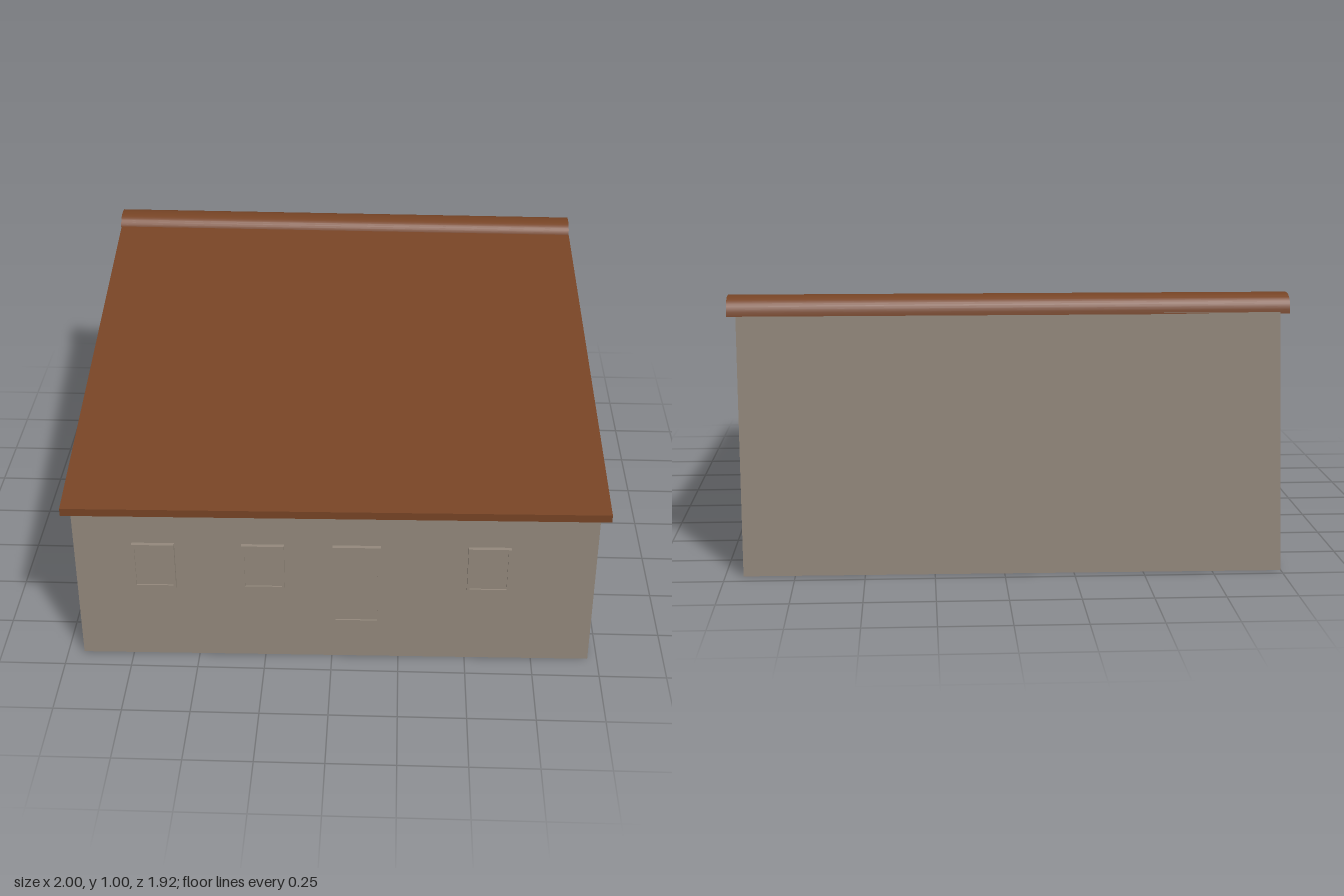
import * as THREE from 'three';
import { toCreasedNormals } from 'three/addons/utils/BufferGeometryUtils.js';

const wallMat = new THREE.MeshStandardMaterial({ name: 'plaster', color: 0x94897d, side: THREE.DoubleSide });
const roofMat = new THREE.MeshStandardMaterial({ name: 'brown roof', color: 0x774425 });

function fromTriangles(points) {
  const g = new THREE.BufferGeometry().setFromPoints(points);
  g.computeVertexNormals();
  return g;
}

function named(name, geometry, material) {
  const mesh = new THREE.Mesh(geometry, material);
  mesh.name = name;
  return mesh;
}

const v = (x, y, z) => new THREE.Vector3(x, y, z);

// Flat polygons, each a fan of corners
function sheet(...polygons) {
  const tris = [];
  for (const p of polygons)
    for (let i = 1; i < p.length - 1; i++) tris.push(p[0], p[i], p[i + 1]);
  return fromTriangles(tris);
}

// Closed solid between matching left and right end profiles
function prism(left, right) {
  const sides = left.map((p, i) => {
    const j = (i + 1) % left.length;
    return [p, right[i], right[j], left[j]];
  });
  return sheet(left, [...right].reverse(), ...sides);
}

// Raised frame with a slightly recessed panel, facing +z before turning
function opening(name, width, y0, y1, x, z, turn, depth = 0.03) {
  const group = new THREE.Group();
  group.name = name;
  const w = width / 2, h = (y1 - y0) / 2, rim = 0.01;
  const rect = (C, a, b) => new C([
    new THREE.Vector2(-a, -b), new THREE.Vector2(a, -b),
    new THREE.Vector2(a, b), new THREE.Vector2(-a, b)]);
  const shape = rect(THREE.Shape, w, h);
  shape.holes.push(rect(THREE.Path, w - rim, h - rim));
  const frame = new THREE.ExtrudeGeometry(shape, { depth, bevelEnabled: false });
  frame.translate(0, 0, -depth / 2);
  group.add(named(name + 'Frame', frame, wallMat));
  group.add(named(name + 'Panel',
    new THREE.BoxGeometry(width - 2 * rim, 2 * (h - rim), depth - 0.012), wallMat));
  group.position.set(x, (y0 + y1) / 2, z);
  group.rotation.y = turn;
  return group;
}

export function createModel() {
  const model = new THREE.Group();
  model.name = 'house';

  // Wall corners: the plan is slightly out of square, one back corner leans in
  const eave = 0.662, top = 0.945;
  const fl0 = v(-0.94, 0, 0.925), fl1 = v(-0.94, eave, 0.925);
  const fr0 = v(0.965, 0, 0.9), fr1 = v(0.965, eave, 0.9);
  const br0 = v(0.935, 0, -0.945), br1 = v(0.935, top, -0.945);
  const bl0 = v(-1, 0, -0.965), bl1 = v(-0.965, top, -0.965);
  const kr = v(0.937, top, -0.81), kl = v(-0.963, top, -0.83);
  model.add(named('frontWall', sheet([fl0, fr0, fr1, fl1]), wallMat));
  model.add(named('backWall', sheet([br0, bl0, bl1, br1]), wallMat));
  model.add(named('leftWall', sheet([fr0, br0, br1, kr, fr1]), wallMat));
  model.add(named('rightWall', sheet([bl0, fl0, fl1], [bl0, fl1, kl, bl1]), wallMat));

  // Sloping roof slab
  const slab = (xBack, zBack, xFront, zFront) => [
    v(xBack, 0.942, zBack), v(xFront, 0.648, zFront),
    v(xFront, 0.678, zFront), v(xBack, 0.968, zBack)];
  model.add(named('roof',
    prism(slab(-0.998, -0.84, -0.97, 0.96), slab(0.967, -0.82, 1, 0.93)), roofMat));

  // Rounded ridge cap along the high back edge
  const cap = (x, zMid) => {
    const pts = [];
    for (let i = 0; i <= 20; i++) {
      const a = (i / 20) * Math.PI;
      const c = Math.cos(a), s = Math.max(0, Math.sin(a));
      pts.push(v(x, 0.94 + 0.065 * Math.pow(s, 0.8),
        zMid + 0.073 * Math.sign(c) * Math.pow(Math.abs(c), 0.8)));
    }
    return pts;
  };
  model.add(named('ridgeCap',
    toCreasedNormals(prism(cap(-1, -0.892), cap(0.967, -0.874)), 0.6), roofMat));

  // Front openings
  const frontZ = x => 0.9127 - 0.0131 * x;
  for (const x of [-0.65, -0.25, 0.575])
    model.add(opening('frontWindow', 0.155, 0.32, 0.51, x, frontZ(x), 0.013));
  model.add(opening('frontDoor', 0.175, 0.17, 0.51, 0.092, frontZ(0.092), 0.013));

  // Openings on the model's left side
  const sideX = z => 0.9504 + 0.0163 * z;
  const turn = Math.PI / 2 + 0.016;
  for (const z of [0.615, 0.265, -0.515])
    model.add(opening('leftWindow', 0.155, 0.32, 0.51, sideX(z), z, turn));
  model.add(opening('leftDoor', 0.175, 0.17, 0.51, sideX(-0.08), -0.08, turn));

  // Windows on the model's right side, the rear one almost sunk in the wall
  model.add(opening('rightFrontWindow', 0.155, 0.32, 0.51, -0.95, 0.58, -Math.PI / 2 + 0.03));
  model.add(opening('rightRearWindow', 0.155, 0.32, 0.51, -0.9505, -0.13, -Math.PI / 2 + 0.03));
  return model;
}
